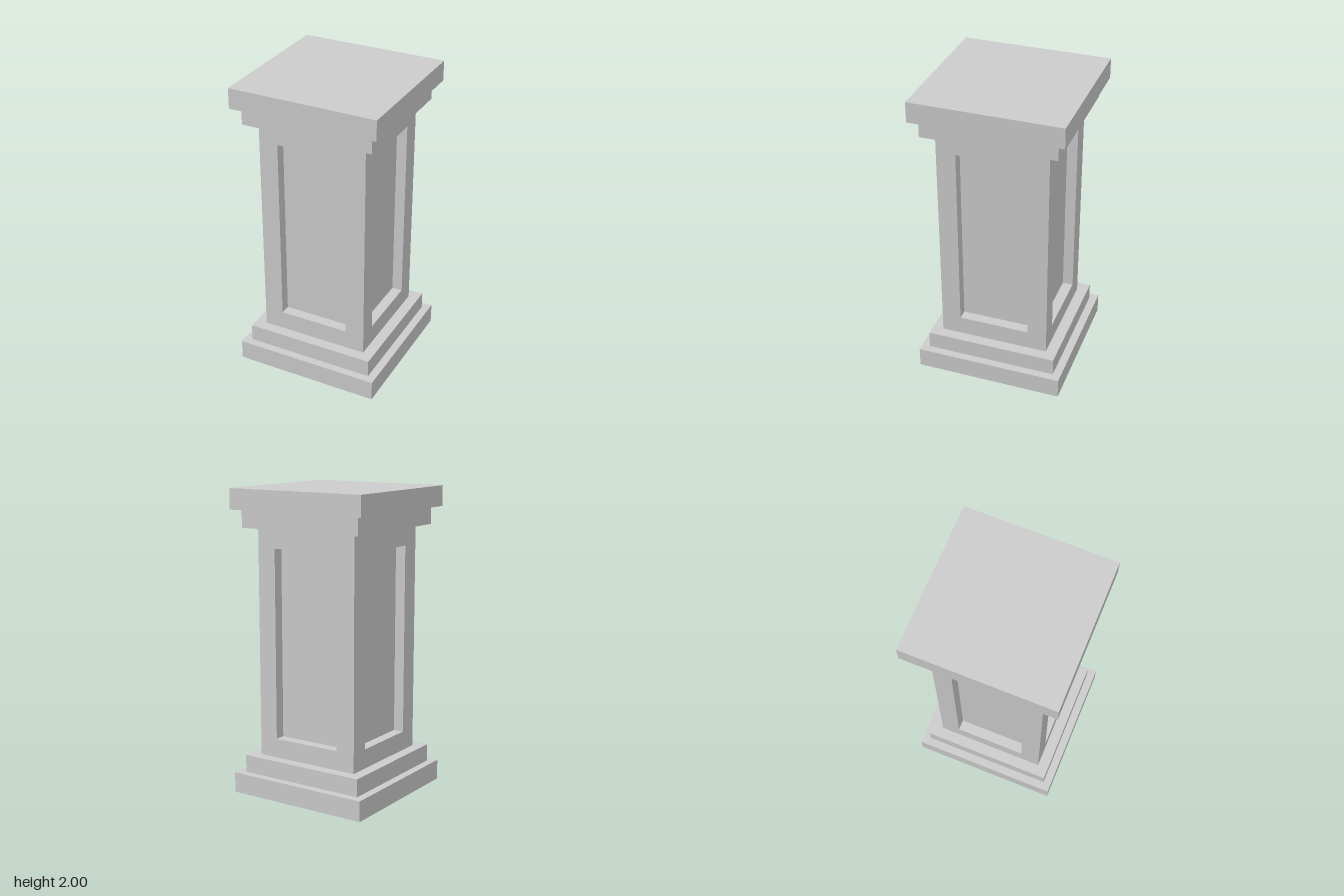
import * as THREE from 'three';

const stone = new THREE.MeshStandardMaterial({ color: 0xcccccc, flatShading: true, side: THREE.DoubleSide });

const BASE = 0.49, STEP = 0.437, SHAFT = 0.364;   // half widths
const PANEL = 0.236, DEPTH = 0.07;                // recessed panel half width and depth
const Y0 = 0.25, Y1 = 1.75, P0 = 0.377, P1 = 1.624;

function add(parent, name, geometry) {
  const mesh = new THREE.Mesh(geometry, stone);
  mesh.name = name;
  parent.add(mesh);
  return mesh;
}

// Square shell swept from a [half width, height] profile, listed bottom to top
function squareShell(profile) {
  const points = profile.map(([w, y]) => new THREE.Vector2(w * Math.SQRT2, y));
  return new THREE.LatheGeometry(points, 4, Math.PI / 4);
}

// One shaft face: frame with an opening, and the recess behind it
function shaftSide() {
  const side = new THREE.Group();
  side.name = 'shaftSide';

  const frame = new THREE.Shape([
    new THREE.Vector2(-SHAFT, Y0), new THREE.Vector2(SHAFT, Y0),
    new THREE.Vector2(SHAFT, Y1), new THREE.Vector2(-SHAFT, Y1),
  ]);
  frame.holes.push(new THREE.Path([
    new THREE.Vector2(-PANEL, P0), new THREE.Vector2(-PANEL, P1),
    new THREE.Vector2(PANEL, P1), new THREE.Vector2(PANEL, P0),
  ]));
  add(side, 'panelFrame', new THREE.ShapeGeometry(frame)).position.z = SHAFT;

  const height = P1 - P0, midY = (P0 + P1) / 2, midZ = SHAFT - DEPTH / 2;
  add(side, 'recessedPanel', new THREE.PlaneGeometry(2 * PANEL, height))
    .position.set(0, midY, SHAFT - DEPTH);

  // Reveals face the middle of the opening
  for (const s of [-1, 1]) {
    const jamb = add(side, 'panelJamb', new THREE.PlaneGeometry(DEPTH, height));
    jamb.position.set(s * PANEL, midY, midZ);
    jamb.rotation.y = -s * Math.PI / 2;
    const edge = add(side, s < 0 ? 'panelSill' : 'panelHead', new THREE.PlaneGeometry(2 * PANEL, DEPTH));
    edge.position.set(0, midY + s * height / 2, midZ);
    edge.rotation.x = s * Math.PI / 2;
  }
  return side;
}

export function createModel() {
  const pedestal = new THREE.Group();
  pedestal.name = 'pedestal';

  // Stepped base, hollow and open underneath
  add(pedestal, 'base', squareShell([
    [BASE, 0], [BASE, 0.134], [STEP, 0.134], [STEP, Y0], [SHAFT, Y0],
  ]));

  // Four identical panelled sides
  for (let i = 0; i < 4; i++) {
    const side = shaftSide();
    side.rotation.y = i * Math.PI / 2;
    pedestal.add(side);
  }

  // Stepped cap with a closed top
  add(pedestal, 'cap', squareShell([
    [SHAFT, Y1], [STEP, Y1], [STEP, 1.866], [BASE, 1.866], [BASE, 2], [0, 2],
  ]));

  return pedestal;
}
